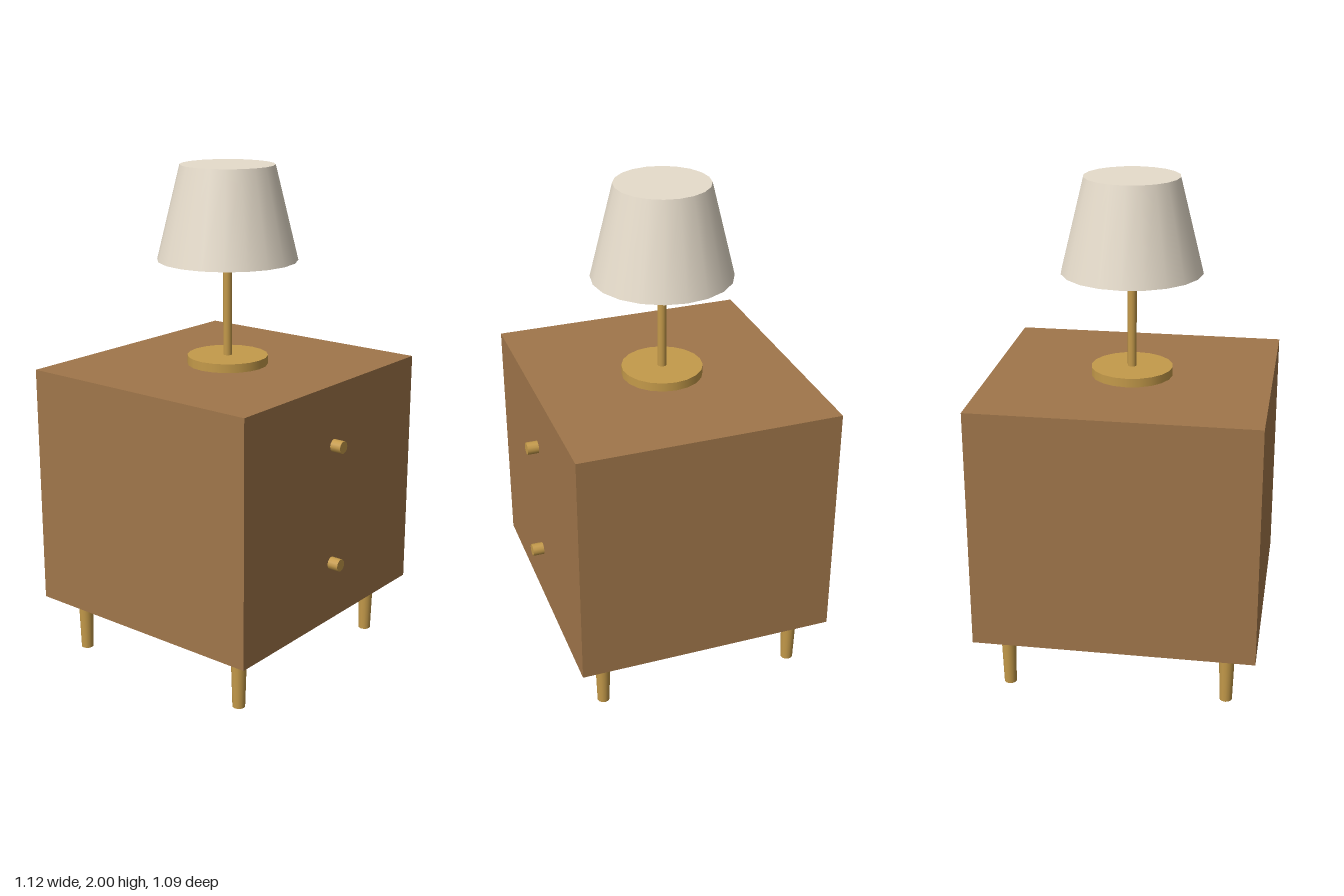
import * as THREE from 'three';

const Z = -0.023; // centre of the cabinet in depth; knobs stand out in front

export function createModel() {
  const model = new THREE.Group();
  model.name = 'nightstandWithLamp';

  const material = (name, color) => {
    const m = new THREE.MeshStandardMaterial({ color });
    m.name = name;
    return m;
  };
  const wood = material('wood', 0xa0764a);
  const brass = material('brass', 0xc49a4a);
  const linen = material('linen', 0xe6dccb);

  const add = (name, geometry, mat, x, y, z, parent = model) => {
    const mesh = new THREE.Mesh(geometry, mat);
    mesh.name = name;
    mesh.position.set(x, y, z);
    parent.add(mesh);
    return mesh;
  };

  // Upright round part between two heights
  const turned = (name, rTop, rBottom, y0, y1, sides, mat, x = 0, z = Z, parent = model) =>
    add(name, new THREE.CylinderGeometry(rTop, rBottom, y1 - y0, sides), mat, x, (y0 + y1) / 2, z, parent);

  // Cabinet
  add('cabinet', new THREE.BoxGeometry(1.116, 0.974, 1.045), wood, 0, 0.723, Z);

  // Tapered legs
  for (const sx of [-1, 1]) {
    for (const sz of [-1, 1]) {
      const name = (sz > 0 ? 'front' : 'back') + (sx > 0 ? 'Left' : 'Right') + 'Leg';
      turned(name, 0.032, 0.025, 0, 0.236, 12, brass, sx * 0.44, Z + sz * 0.407);
    }
  }

  // Drawer knobs
  for (const [name, y] of [['upperKnob', 0.968], ['lowerKnob', 0.48]]) {
    const knob = add(name, new THREE.CylinderGeometry(0.025, 0.025, 0.046, 12), brass, 0, y, 0.522);
    knob.rotation.x = Math.PI / 2;
  }

  // Table lamp
  const lamp = new THREE.Group();
  lamp.name = 'lamp';
  model.add(lamp);
  turned('lampBase', 0.162, 0.162, 1.21, 1.245, 20, brass, 0, Z, lamp);
  turned('lampPole', 0.018, 0.018, 1.245, 1.66, 12, brass, 0, Z, lamp);
  turned('lampShade', 0.186, 0.278, 1.63, 2, 20, linen, 0, Z, lamp);

  return model;
}
